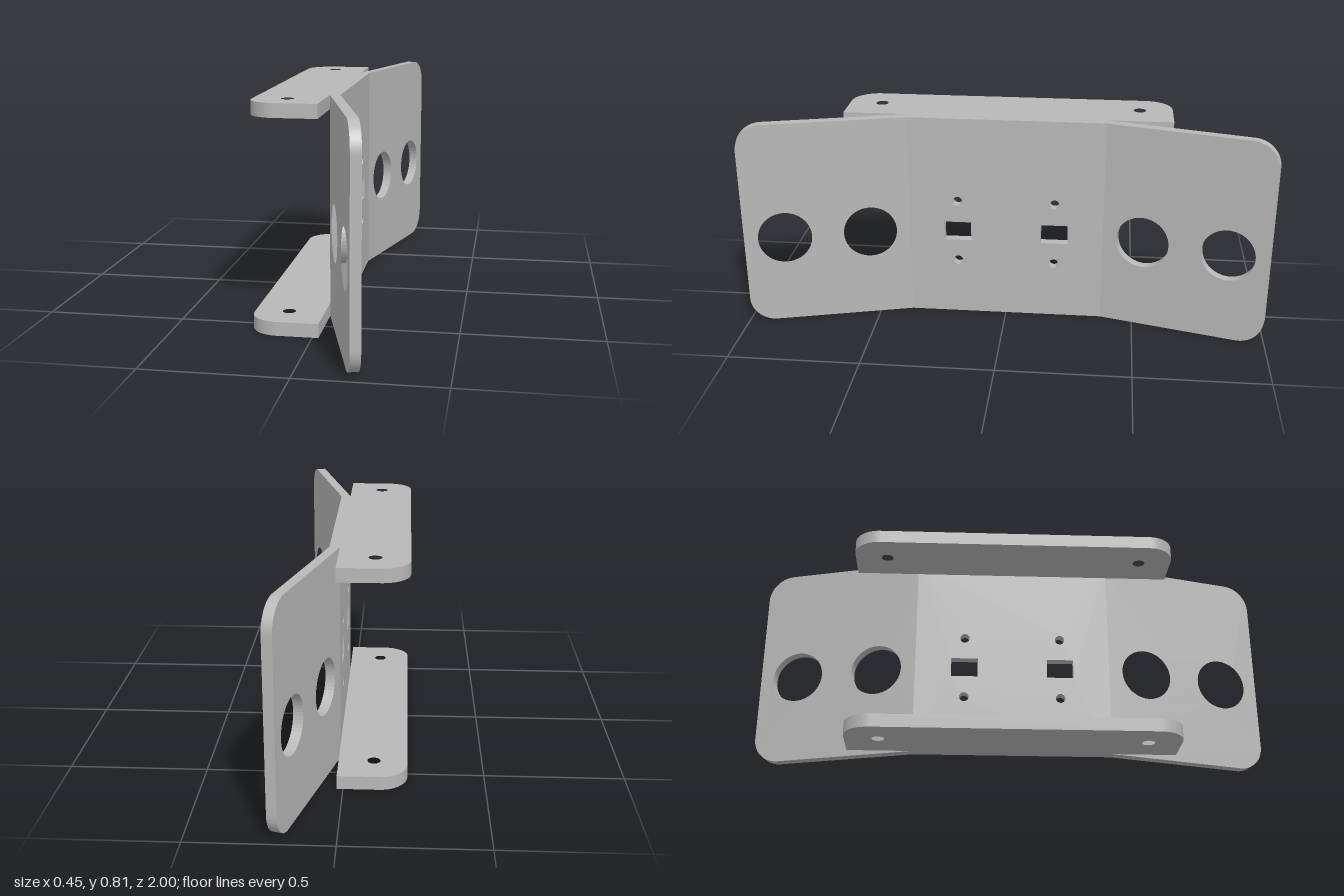
import * as THREE from 'three';

const HEIGHT = 0.81, THICK = 0.0365, INNER_X = 0.022;
const BEND_Z = 0.38, BEND = THREE.MathUtils.degToRad(15), WING = 0.642;
const MITRE = THICK * Math.tan(BEND / 2);
const HOLE_Y = 0.35;

function roundHole(shape, x, y, r) {
  const path = new THREE.Path();
  path.absarc(x, y, r, 0, Math.PI * 2, true);
  shape.holes.push(path);
}

function rectHole(shape, x, y, w, h) {
  const path = new THREE.Path();
  path.moveTo(x - w / 2, y - h / 2);
  path.lineTo(x - w / 2, y + h / 2);
  path.lineTo(x + w / 2, y + h / 2);
  path.lineTo(x + w / 2, y - h / 2);
  path.closePath();
  shape.holes.push(path);
}

// Plate from u = 0 to len, v = v0 to v1, with both corners at u = len rounded
function roundedEnd(len, v0, v1, r, dir) {
  const s = new THREE.Shape();
  s.moveTo(0, v0);
  s.lineTo(dir * (len - r), v0);
  s.absarc(dir * (len - r), v0 + r, r, -Math.PI / 2, dir > 0 ? 0 : -Math.PI, dir < 0);
  s.lineTo(dir * len, v1 - r);
  s.absarc(dir * (len - r), v1 - r, r, dir > 0 ? 0 : Math.PI, Math.PI / 2, dir < 0);
  s.lineTo(0, v1);
  s.closePath();
  return s;
}

function extrude(shape, depth) {
  return new THREE.ExtrudeGeometry(shape, { depth, bevelEnabled: false, curveSegments: 24 });
}

// Shift the outer edge of a plate's end so neighbouring plates meet on a mitre
function mitre(geometry, end, shift) {
  const p = geometry.attributes.position;
  for (let i = 0; i < p.count; i++) {
    if (p.getZ(i) > THICK / 2 && Math.abs(p.getX(i) - end) < 1e-5) p.setX(i, end + shift);
  }
}

export function createModel() {
  const model = new THREE.Group();
  model.name = 'mountingBracket';
  const grey = new THREE.MeshStandardMaterial({ color: 0xb8b8b8 });
  grey.name = 'plainGrey';

  const add = (name, geometry) => {
    const mesh = new THREE.Mesh(geometry, grey);
    mesh.name = name;
    model.add(mesh);
    return mesh;
  };

  // Centre panel with two slots, each between a pair of screw holes
  const centre = new THREE.Shape();
  centre.moveTo(-BEND_Z, 0);
  centre.lineTo(BEND_Z, 0);
  centre.lineTo(BEND_Z, HEIGHT);
  centre.lineTo(-BEND_Z, HEIGHT);
  centre.closePath();
  for (const side of [-1, 1]) {
    const u = side * 0.1875;
    rectHole(centre, u, HOLE_Y, 0.104, 0.076);
    roundHole(centre, u, HOLE_Y + 0.125, 0.0185);
    roundHole(centre, u, HOLE_Y - 0.125, 0.0185);
  }
  const centreGeo = extrude(centre, THICK);
  mitre(centreGeo, BEND_Z, -MITRE);
  mitre(centreGeo, -BEND_Z, MITRE);
  centreGeo.rotateY(Math.PI / 2);
  add('centrePanel', centreGeo).position.x = INNER_X;

  // Angled wings with two large round openings
  for (const side of [1, -1]) {
    const wing = roundedEnd(WING, 0, HEIGHT, 0.1, -side);
    for (const s of [0.16, 0.487]) roundHole(wing, -side * s, HOLE_Y, 0.1025);
    const geo = extrude(wing, THICK);
    mitre(geo, 0, -side * MITRE);
    geo.rotateY(Math.PI / 2);
    const mesh = add(side > 0 ? 'frontWing' : 'backWing', geo);
    mesh.position.set(INNER_X, 0, side * BEND_Z);
    mesh.rotation.y = side * BEND;
  }

  // Top and bottom mounting flanges with screw holes
  const flange = roundedEnd(0.248, -0.623, 0.623, 0.1, -1);
  for (const z of [-0.498, 0.498]) roundHole(flange, -0.127, z, 0.0235);
  const flangeGeo = extrude(flange, 0.05);
  flangeGeo.rotateX(Math.PI / 2);
  add('bottomFlange', flangeGeo).position.set(INNER_X, 0.05, 0);
  add('topFlange', flangeGeo).position.set(INNER_X, HEIGHT, 0);

  return model;
}
